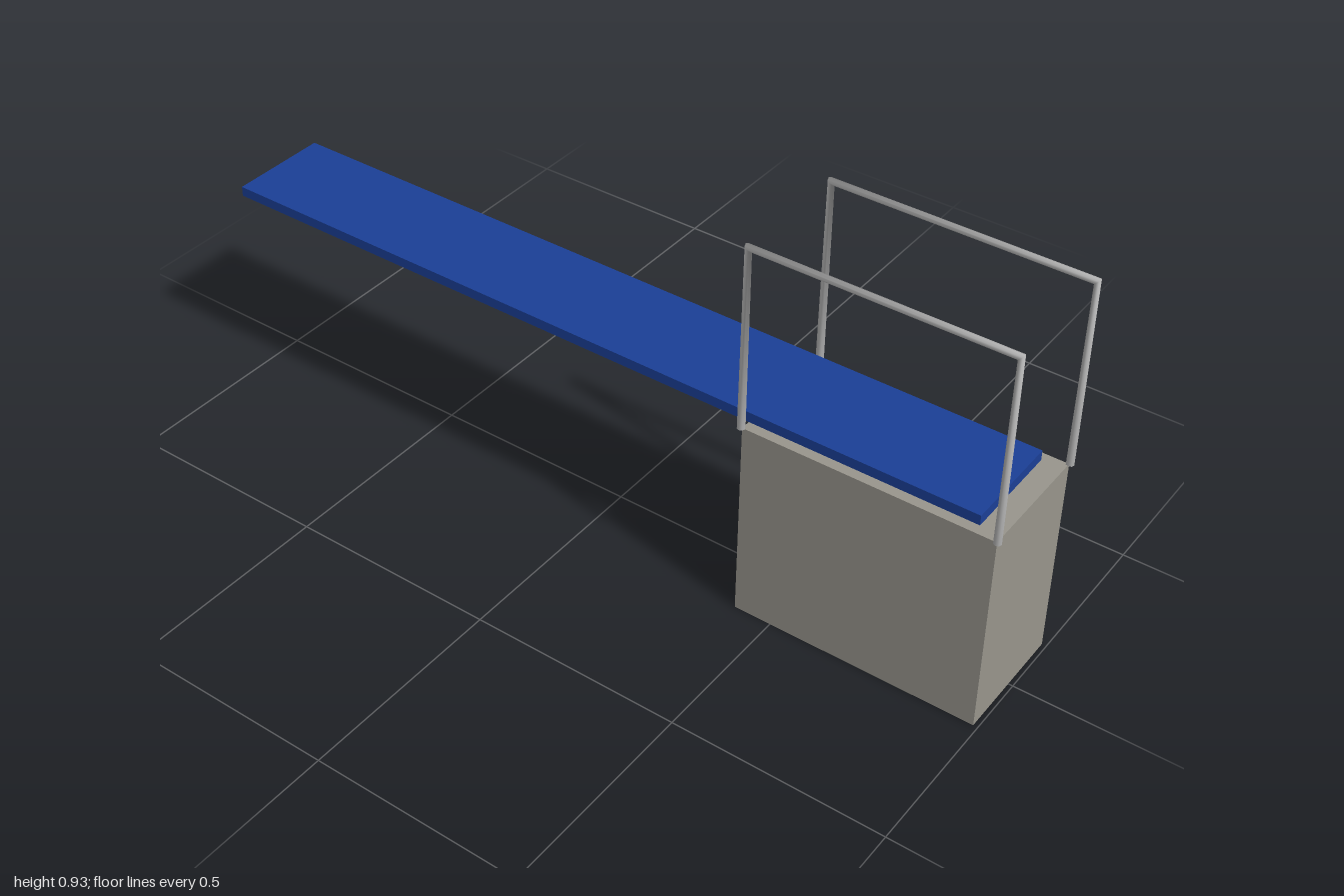
import * as THREE from 'three';

// Path with straight legs; rings sit on the corners, tilted to the bisecting angle
class MitredPath extends THREE.Curve {
  constructor(points) {
    super();
    this.points = points;
    this.last = points.length - 1;
  }
  getPointAt(u) {
    return this.points[Math.round(u * this.last)].clone();
  }
  getTangentAt(u) {
    const i = Math.round(u * this.last);
    const leg = (k) => this.points[k + 1].clone().sub(this.points[k]).normalize();
    return leg(Math.max(i - 1, 0)).add(leg(Math.min(i, this.last - 1))).normalize();
  }
}

export function createModel() {
  const model = new THREE.Group();
  const concrete = new THREE.MeshStandardMaterial({ color: 0x98958c });
  concrete.name = 'concrete';
  const blue = new THREE.MeshStandardMaterial({ color: 0x1b3f96 });
  blue.name = 'boardBlue';
  const steel = new THREE.MeshStandardMaterial({ color: 0xb0b0b0 });
  steel.name = 'railSteel';

  const add = (parent, name, geometry, material, x, y, z) => {
    const mesh = new THREE.Mesh(geometry, material);
    mesh.name = name;
    mesh.position.set(x, y, z);
    parent.add(mesh);
    return mesh;
  };

  const baseTop = 0.487, zBack = 0.409, zFront = 0.991, r = 0.009, railY = 0.9235;
  const zMid = (zBack + zFront) / 2;

  // Solid plinth
  add(model, 'plinth', new THREE.BoxGeometry(0.29, baseTop, 0.579), concrete, 0, baseTop / 2, zMid);

  // Long springboard reaching out to the back
  add(model, 'divingBoard', new THREE.BoxGeometry(0.244, 0.024, 1.94), blue, 0, 0.5, -0.03);

  // Eight-sided hoop handrail along each side, with closed feet
  const path = new MitredPath([
    new THREE.Vector3(0, baseTop, zFront),
    new THREE.Vector3(0, railY, zFront),
    new THREE.Vector3(0, railY, zBack),
    new THREE.Vector3(0, baseTop, zBack),
  ]);
  const hoop = new THREE.TubeGeometry(path, path.last, r, 8, false);
  const foot = new THREE.CircleGeometry(r, 8).rotateX(Math.PI / 2);
  for (const side of [1, -1]) {
    const rail = new THREE.Group();
    rail.name = side > 0 ? 'leftHandrail' : 'rightHandrail';
    const x = side * 0.146;
    add(rail, 'hoop', hoop, steel, x, 0, 0);
    add(rail, 'frontFoot', foot, steel, x, baseTop, zFront);
    add(rail, 'backFoot', foot, steel, x, baseTop, zBack);
    model.add(rail);
  }

  return model;
}
